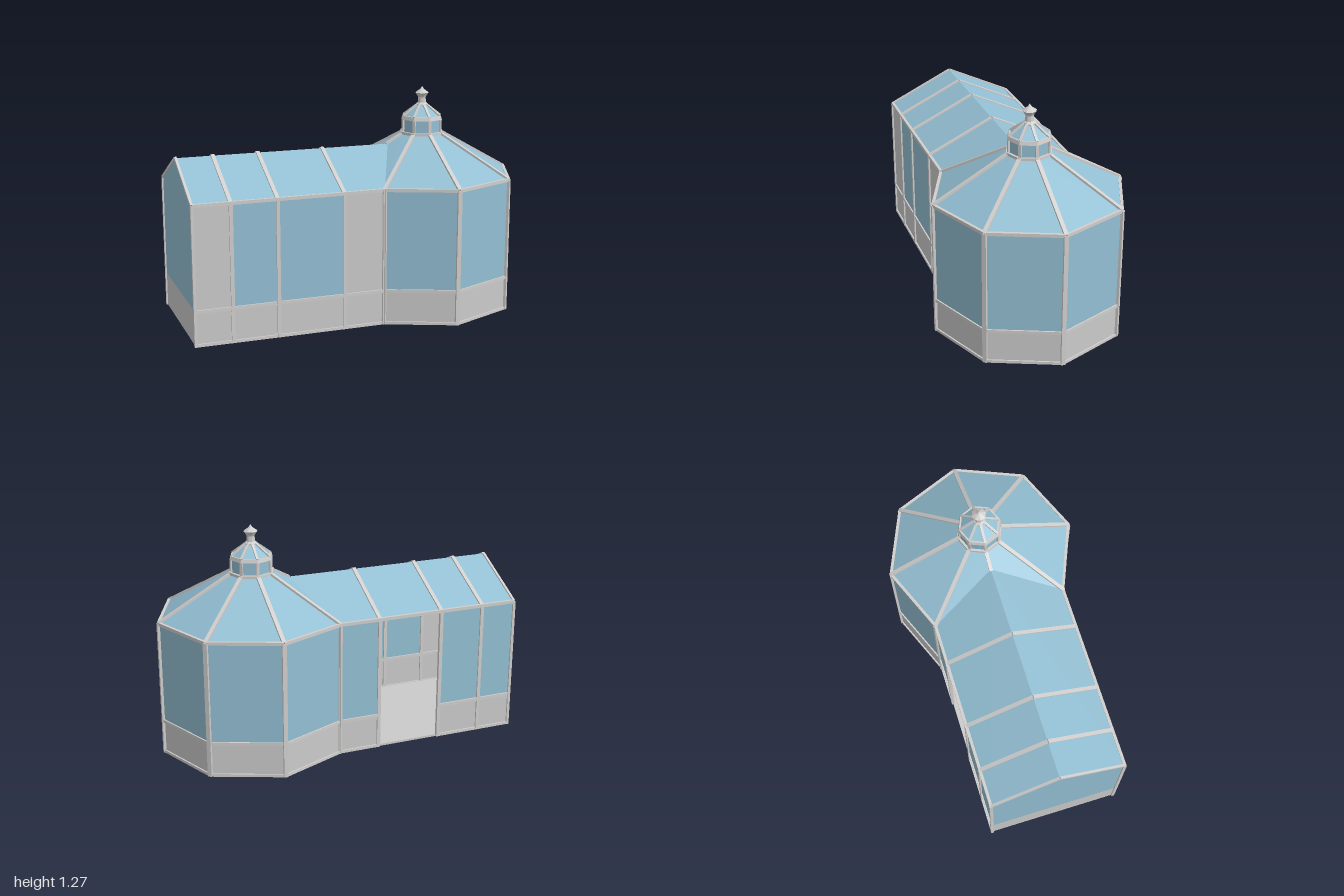
import * as THREE from 'three';

const glass = new THREE.MeshStandardMaterial({ name: 'glass blue', color: 0x93bfd3, side: THREE.DoubleSide });
const panelGrey = new THREE.MeshStandardMaterial({ name: 'panel grey', color: 0xcacaca, side: THREE.DoubleSide });
const frameGrey = new THREE.MeshStandardMaterial({ name: 'frame grey', color: 0xd0cfce });
frameGrey.flatShading = true;

const V = (x, y, z) => new THREE.Vector3(x, y, z);

// Key dimensions
const CX = 0.455, R = 0.533, WEST = -0.99;
const SILL = 0.195, EAVE = 0.768, RIDGE = 0.948, CROWN = 1.0, CROWN_R = 0.122;
const polar = (deg, r, y) => {
  const a = THREE.MathUtils.degToRad(deg);
  return V(CX + r * Math.cos(a), y, r * Math.sin(a));
};
const HALF = R * Math.SQRT1_2;     // half width of the long hall
const JOIN = CX - HALF;            // where hall meets octagon

export function createModel() {
  const model = new THREE.Group();
  model.name = 'glasshouse';

  const add = (geo, mat, name, parent = model) => {
    const m = new THREE.Mesh(geo, mat);
    m.name = name;
    parent.add(m);
    return m;
  };

  // Flat convex face through a loop of points
  const face = (pts, mat, name) => {
    const tris = [];
    for (let i = 1; i < pts.length - 1; i++) tris.push(pts[0], pts[i], pts[i + 1]);
    const g = new THREE.BufferGeometry().setFromPoints(tris);
    g.computeVertexNormals();
    return add(g, mat, name);
  };

  // Square bar between two points
  const bar = (a, b, w, h, name) => {
    const m = add(new THREE.BoxGeometry(w, h, a.distanceTo(b)), frameGrey, name);
    m.position.copy(a).lerp(b, 0.5);
    m.lookAt(b);
    return m;
  };

  // Upright post, turned to face outward
  const post = (p, y0, y1, w, d, angle, name) => {
    const m = add(new THREE.BoxGeometry(d, y1 - y0, w), frameGrey, name);
    m.position.set(p.x, (y0 + y1) / 2, p.z);
    m.rotation.y = -THREE.MathUtils.degToRad(angle);
    return m;
  };

  // One wall bay: base panel, upper fill and rails
  const bay = (a, b, fill) => {
    const at = (p, y) => V(p.x, y, p.z);
    const quad = (y0, y1) => [at(a, y0), at(b, y0), at(b, y1), at(a, y1)];
    bar(at(a, EAVE), at(b, EAVE), 0.016, 0.018, 'eaveRail');
    if (fill === 'open') return;
    face(quad(0, SILL), panelGrey, 'basePanel');
    face(quad(SILL, EAVE), fill === 'glass' ? glass : panelGrey, fill === 'glass' ? 'wallGlass' : 'solidPanel');
    bar(at(a, 0.008), at(b, 0.008), 0.016, 0.016, 'footRail');
    bar(at(a, SILL), at(b, SILL), 0.016, 0.018, 'sillRail');
  };

  // Hall side walls, with a doorway at the back
  const stops = [WEST, -0.785, -0.53, -0.155, JOIN];
  const fills = {
    1: ['solid', 'glass', 'glass', 'solid'],
    [-1]: ['glass', 'glass', 'open', 'glass'],
  };
  for (const s of [1, -1]) {
    fills[s].forEach((f, i) => bay(V(stops[i], 0, s * HALF), V(stops[i + 1], 0, s * HALF), f));
    stops.forEach((x, i) => {
      post(V(x, 0, s * HALF), 0, EAVE, i ? 0.02 : 0.016, 0.018, 90, 'hallPost');
      if (i < 4) {
        const w = i ? 0.022 : 0.014;
        bar(V(x, EAVE, s * HALF), V(x, RIDGE, 0), w, 0.016, 'hallRafter');
      }
    });
    // Hall roof slope, cut at the valley
    face([V(WEST, EAVE, s * HALF), V(JOIN, EAVE, s * HALF), V(0.245, RIDGE, 0), V(WEST, RIDGE, 0)],
      glass, 'hallRoofGlass');
    // Octagon roof remnant above the valley
    face([V(JOIN, EAVE, s * HALF), polar(180 - s * 45, CROWN_R, CROWN), polar(180, CROWN_R, CROWN),
      V(0.245, RIDGE, 0)], glass, 'valleyRoofGlass');
  }

  // Gable end
  face([V(WEST, 0, -HALF), V(WEST, 0, HALF), V(WEST, SILL, HALF), V(WEST, SILL, -HALF)], panelGrey, 'gableBase');
  face([V(WEST, SILL, -HALF), V(WEST, SILL, HALF), V(WEST, EAVE, HALF), V(WEST, RIDGE, 0), V(WEST, EAVE, -HALF)],
    glass, 'gableGlass');

  // Octagon walls, posts, roof panes and hip ribs
  for (let deg = -135; deg <= 135; deg += 45) {
    const p = polar(deg, R, 0);
    post(p, 0, EAVE, 0.024, 0.018, deg, 'octagonPost');
    bar(polar(deg, R, EAVE + 0.002), polar(deg, CROWN_R, CROWN + 0.002), 0.022, 0.016, 'hipRib');
    if (deg === 135) continue;
    bay(p, polar(deg + 45, R, 0), 'glass');
    face([polar(deg, R, EAVE), polar(deg + 45, R, EAVE), polar(deg + 45, CROWN_R, CROWN),
      polar(deg, CROWN_R, CROWN)], glass, 'octagonRoofGlass');
  }
  bar(V(0.235, RIDGE, 0), polar(180, CROWN_R, CROWN + 0.002), 0.02, 0.014, 'hipRib');

  // Floor slab
  const plan = new THREE.Shape();
  plan.moveTo(WEST, -HALF);
  for (let deg = 135; deg >= -135; deg -= 45) {
    const p = polar(deg, R, 0);
    plan.lineTo(p.x, -p.z);
  }
  plan.lineTo(WEST, HALF);
  add(new THREE.ExtrudeGeometry(plan, { depth: 0.012, bevelEnabled: false }).rotateX(-Math.PI / 2),
    panelGrey, 'floor');

  // Eight-sided lantern on the roof
  const drum = (r0, r1, y0, y1, mat, name) => {
    const g = new THREE.CylinderGeometry(r1, r0, y1 - y0, 8).toNonIndexed();
    g.computeVertexNormals();
    add(g, mat, name).position.set(CX, (y0 + y1) / 2, 0);
  };
  drum(0.13, 0.13, 0.998, 1.013, frameGrey, 'lanternSill');
  drum(0.115, 0.115, 1.01, 1.085, glass, 'lanternGlass');
  drum(0.124, 0.118, 1.083, 1.104, frameGrey, 'lanternEave');
  drum(0.108, 0.032, 1.104, 1.163, glass, 'lanternRoof');
  for (let deg = 0; deg < 360; deg += 45) {
    post(polar(deg, 0.114, 0), 1.01, 1.085, 0.017, 0.014, deg, 'lanternPost');
    bar(polar(deg, 0.112, 1.102), polar(deg, 0.03, 1.164), 0.014, 0.012, 'lanternRib');
  }

  // Finial
  const profile = [[0, 1.155], [0.036, 1.155], [0.036, 1.168], [0.025, 1.178], [0.023, 1.208],
    [0.028, 1.218], [0.04, 1.234], [0.012, 1.254], [0, 1.271]];
  const finial = new THREE.LatheGeometry(profile.map(([x, y]) => new THREE.Vector2(x, y)), 8).toNonIndexed();
  finial.computeVertexNormals();
  add(finial, frameGrey, 'finial').position.x = CX;

  return model;
}
